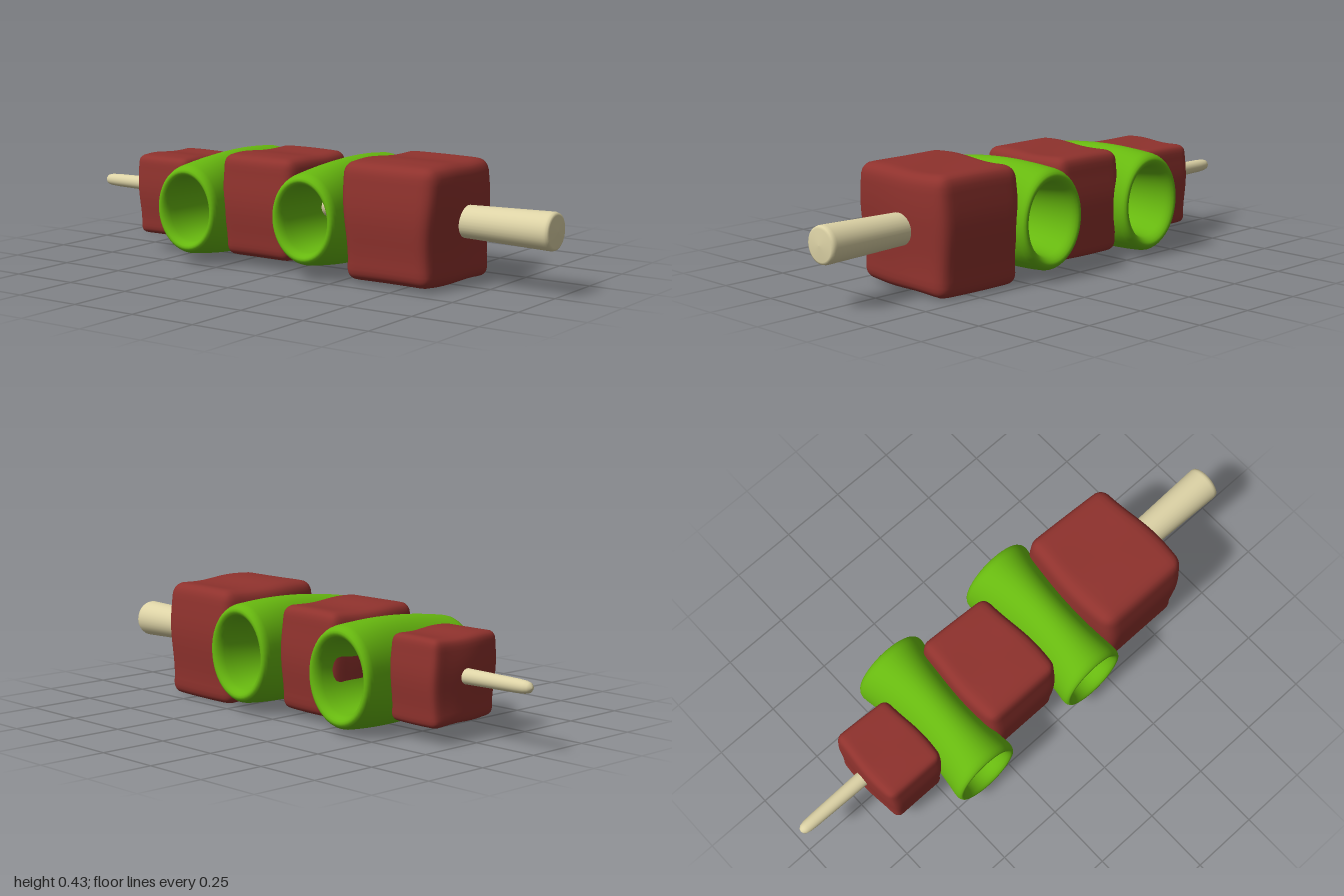
import * as THREE from 'three';
import { mergeVertices } from 'three/addons/utils/BufferGeometryUtils.js';

const meatMaterial = new THREE.MeshStandardMaterial({ color: 0x8f322d });
const pepperMaterial = new THREE.MeshStandardMaterial({ color: 0x67b80f });
const woodMaterial = new THREE.MeshStandardMaterial({ color: 0xddd3a6 });

// Moves every vertex by a rule, then welds seams so the normals are smooth.
function reshape(geometry, rule, weld = true) {
  const pos = geometry.attributes.position;
  const p = new THREE.Vector3();
  for (let i = 0; i < pos.count; i++) {
    p.fromBufferAttribute(pos, i);
    rule(p);
    pos.setXYZ(i, p.x, p.y, p.z);
  }
  geometry.deleteAttribute('uv');
  geometry.deleteAttribute('normal');
  const result = weld ? mergeVertices(geometry, 1e-5) : geometry;
  result.computeVertexNormals();
  return result;
}

function named(name, geometry, material) {
  const mesh = new THREE.Mesh(geometry, material);
  mesh.name = name;
  return mesh;
}

// A rounded cube with soft dents and slightly skewed sides.
function meatChunk(name, [w, h, d], [x, y, z], phase) {
  const half = new THREE.Vector3(w / 2, h / 2, d / 2);
  const r = Math.min(w, h, d) * 0.12;
  const inner = half.clone().subScalar(r);
  const lower = inner.clone().negate();
  const core = new THREE.Vector3();
  const geometry = reshape(new THREE.BoxGeometry(2, 2, 2, 20, 20, 20), (p) => {
    // crowd the grid toward the edges, where the rounding happens
    p.set(...p.toArray().map((c) => Math.sin((c * Math.PI) / 2))).multiply(half);
    core.copy(p).clamp(lower, inner);
    p.sub(core).setLength(r).add(core);
    const u = p.x / half.x, v = p.y / half.y, t = p.z / half.z;
    // lumps on each pair of sides
    p.y += half.y * v * 0.028 * Math.sin(4.5 * u + 3.2 + phase) * Math.cos(1.2 * t);
    p.x += half.x * u * 0.03 * Math.sin(3.5 * v + 1 + phase) - half.x * 0.04 * t * Math.max(u, 0);
    p.z += half.z * t * 0.05 * Math.cos(2.6 * u + 0.8 * v + phase * 0.3);
    p.z += half.z * t * 0.03 * Math.sin(3 * v + phase);
    p.y -= h * 0.012 * u;
  });
  const mesh = named(name, geometry, meatMaterial);
  mesh.position.set(x, y, z);
  return mesh;
}

// A hollow pepper tube along x: tall in the middle, pinched front to back.
function pepperRing(name, y, z) {
  const L = 0.275;
  // s = 1 on the outer wall, 0 on the inner wall
  const section = [];
  const n = 20;
  for (let i = 0; i <= n; i++) section.push([1, -0.88 + (1.76 * i) / n]);
  for (let i = 1; i < 8; i++) {
    const a = (i / 8) * Math.PI;
    section.push([0.5 + 0.5 * Math.cos(a), 0.88 + 0.12 * Math.sin(a)]);
  }
  for (let i = 0; i <= n; i++) section.push([0, 0.88 - (1.76 * i) / n]);
  for (let i = 1; i <= 8; i++) {
    const a = (i / 8) * Math.PI;
    section.push([0.5 - 0.5 * Math.cos(a), -0.88 - 0.12 * Math.sin(a)]);
  }
  const points = section.map(([s, t]) => new THREE.Vector2(s + 1, t));
  const geometry = reshape(new THREE.LatheGeometry(points, 48), (p) => {
    const s = Math.hypot(p.x, p.z) - 1;
    const a = Math.atan2(p.x, p.z);
    const t = p.y, e = t * t;
    const grow = 1 + 0.06 * t;
    const outerY = 0.19 - 0.022 * e, outerZ = 0.115 + 0.03 * e;
    const innerY = 0.108 + 0.022 * e, innerZ = 0.092 + 0.015 * e;
    const hy = (innerY + (outerY - innerY) * s) * grow;
    const hz = (innerZ + (outerZ - innerZ) * s) * grow;
    p.set(t * L, hy * Math.sin(a), hz * Math.cos(a) + 0.008 * t);
  });
  const mesh = named(name, geometry, pepperMaterial);
  mesh.material.side = THREE.DoubleSide;
  mesh.position.set(0, y, z);
  return mesh;
}

// Tapered stick, thick handle at the front and a blunt tip at the back.
function stick() {
  const profile = [
    [0, -1], [0.01, -0.997], [0.018, -0.988], [0.022, -0.972], [0.024, -0.94],
    [0.04, 0], [0.067, 0.975], [0.067, 0.983], [0.064, 0.992], [0.056, 0.996], [0, 1],
  ].map(([r, z]) => new THREE.Vector2(r, z));
  const geometry = new THREE.LatheGeometry(profile, 32);
  geometry.rotateX(Math.PI / 2);
  const mesh = named('stick', geometry, woodMaterial);
  mesh.position.set(0.012, 0.228, 0);
  return mesh;
}

export function createModel() {
  const group = new THREE.Group();
  group.name = 'skewer';
  group.add(
    stick(),
    meatChunk('frontMeat', [0.44, 0.42, 0.37], [0, 0.22, 0.455], 0),
    meatChunk('middleMeat', [0.395, 0.37, 0.31], [0, 0.222, -0.115], 0.5),
    meatChunk('backMeat', [0.31, 0.3, 0.235], [0, 0.215, -0.59], 0.2),
    pepperRing('frontPepper', 0.22, 0.155),
    pepperRing('backPepper', 0.205, -0.365),
  );
  return group;
}
